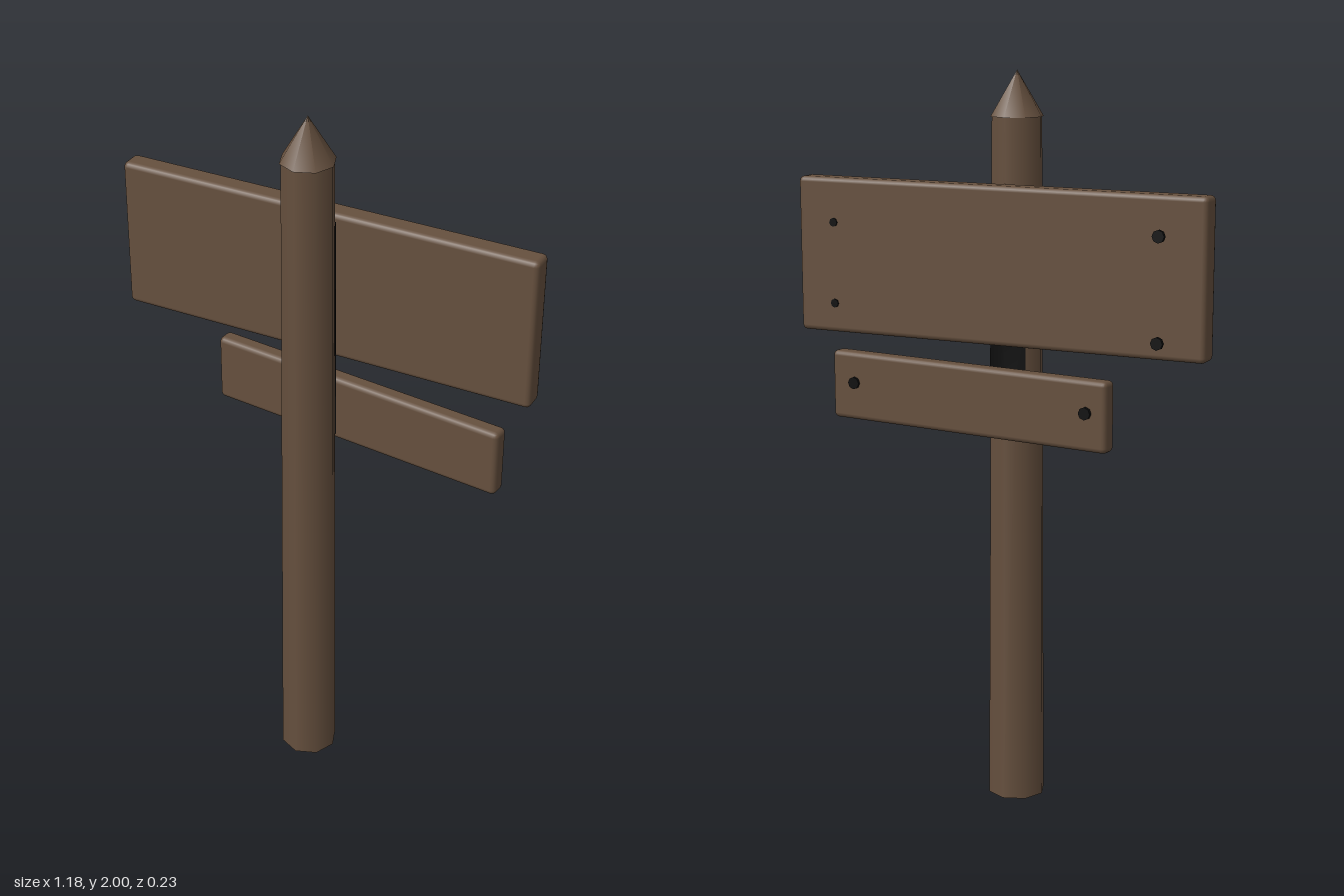
import * as THREE from 'three';
import { RoundedBoxGeometry } from 'three/addons/geometries/RoundedBoxGeometry.js';

export function createModel() {
  const group = new THREE.Group();
  const wood = new THREE.MeshStandardMaterial({ color: 0x66503e });
  wood.name = 'brown wood';
  const iron = new THREE.MeshStandardMaterial({ color: 0x0c0c0c });
  iron.name = 'black iron';
  const POST_Z = 0.035;

  function add(name, geometry, material, x, y, z) {
    const mesh = new THREE.Mesh(geometry, material);
    mesh.name = name;
    mesh.position.set(x, y, z);
    group.add(mesh);
    return mesh;
  }

  // Eight-sided tapered post with a pointed, slightly overhanging cap
  add('post', new THREE.CylinderGeometry(0.069, 0.08, 1.885, 8), wood, 0, 0.9425, POST_Z);
  add('postCap', new THREE.ConeGeometry(0.073, 0.12, 8), wood, 0, 1.94, POST_Z);

  // Boards with softened edges, each turned a little around the post
  function board(name, w, h, d, x, y, z, turn) {
    add(name, new RoundedBoxGeometry(w, h, d, 2, 0.014), wood, x, y, z).rotation.y = turn;
  }
  board('largeBoard', 1.18, 0.42, 0.065, 0, 1.5, -0.065, 0.034);
  board('smallBoard', 0.87, 0.19, 0.05, 0.1, 1.13, -0.053, -0.07);

  // Dark iron strap wrapped round the back of the post behind the boards
  function strap(name, y0, y1, halfAngle) {
    const radius = (y) => 0.08 - 0.011 * y / 1.885 + 0.002;
    const angles = [-halfAngle, -Math.PI / 4, 0, Math.PI / 4, halfAngle];
    // Follow the flat sides of the post between its corners
    const flat = (a) => {
      const past = Math.abs(a) % (Math.PI / 4);
      return Math.cos(Math.PI / 8) / Math.cos(past - Math.PI / 8);
    };
    const points = [];
    const index = [];
    angles.forEach((a, i) => {
      for (const y of [y0, y1]) {
        const r = radius(y) * flat(a);
        points.push(Math.sin(a) * r, y, -Math.cos(a) * r);
      }
      if (i > 0) {
        const k = i * 2;
        index.push(k - 2, k - 1, k, k, k - 1, k + 1);
      }
    });
    const geometry = new THREE.BufferGeometry();
    geometry.setAttribute('position', new THREE.Float32BufferAttribute(points, 3));
    geometry.setIndex(index);
    geometry.computeVertexNormals();
    const mat = iron;
    mat.side = THREE.DoubleSide;
    add(name, geometry, mat, 0, 0, POST_Z);
  }
  strap('upperStrap', 1.32, 1.7, 1.1);
  strap('lowerStrap', 1.06, 1.32, 0.8);

  // Nail heads on the back of the boards
  const nails = [
    [-0.475, 1.61, -0.113, 0.017], [-0.475, 1.34, -0.113, 0.017],
    [0.48, 1.59, -0.112, 0.012], [0.48, 1.37, -0.112, 0.012],
    [-0.275, 1.14, -0.113, 0.017], [0.46, 1.14, -0.056, 0.017],
  ];
  for (const [x, y, z, r] of nails) {
    add('nail', new THREE.CylinderGeometry(r, r, 0.01, 8), iron, x, y, z).rotation.x = Math.PI / 2;
  }

  return group;
}
